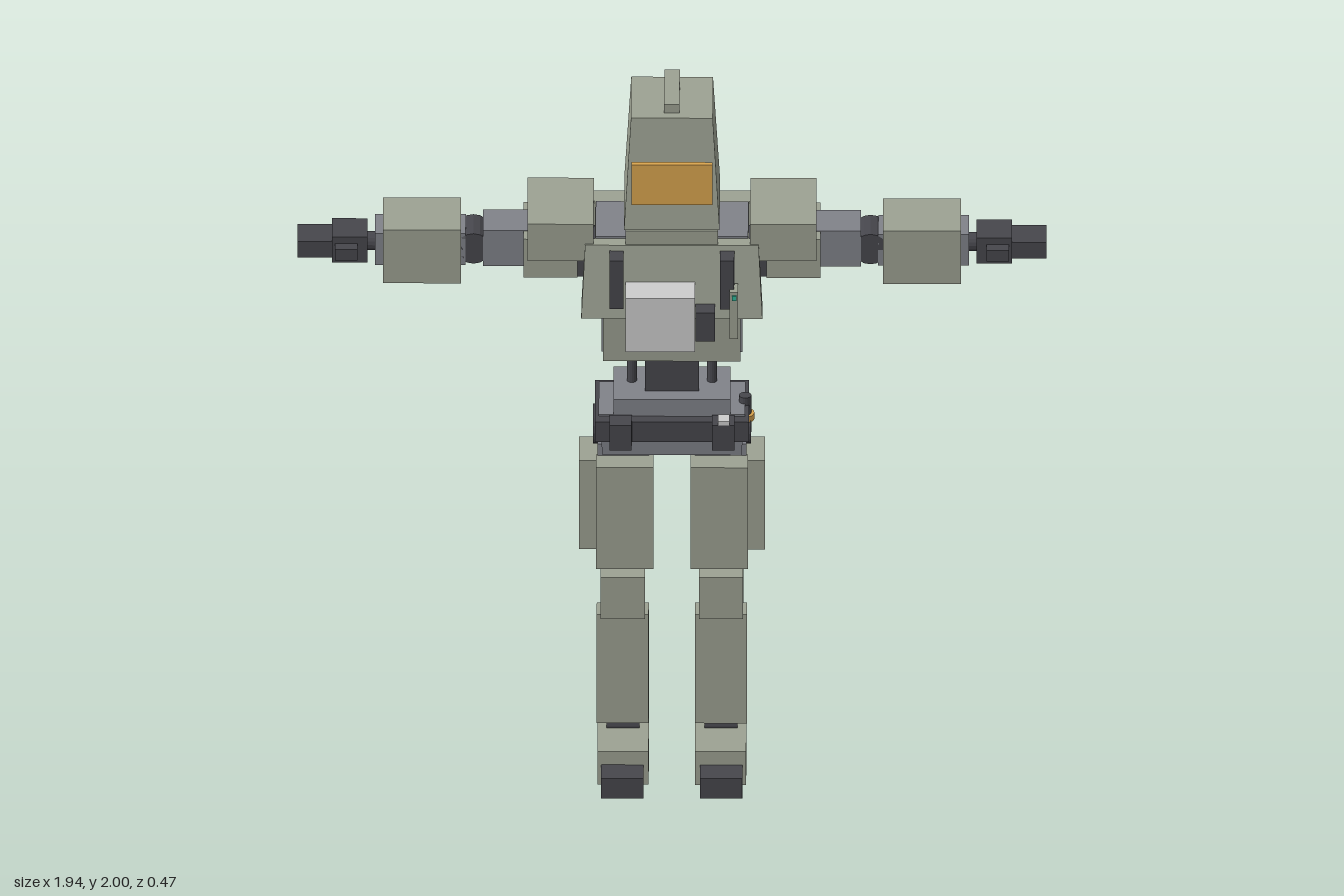
import * as THREE from 'three';

const mat = (color) => new THREE.MeshStandardMaterial({ color, flatShading: true });

export function createModel() {
  const model = new THREE.Group();
  const armor = mat(0x9ca192), frame = mat(0x808289), dark = mat(0x46464c);
  const amber = mat(0xd9a44e), pale = mat(0xcfd0cc), teal = mat(0x2fb89a);

  const add = (parent, name, geo, material) => {
    const mesh = new THREE.Mesh(geo, material);
    mesh.name = name;
    parent.add(mesh);
    return mesh;
  };

  // Box from its limits; s = -1 puts it on the other side
  const box = (parent, name, material, [x0, x1, y0, y1, z0, z1], s = 1) => {
    const m = add(parent, name, new THREE.BoxGeometry(x1 - x0, y1 - y0, z1 - z0), material);
    m.position.set(s * (x0 + x1) / 2, (y0 + y1) / 2, (z0 + z1) / 2);
    return m;
  };

  // Symmetric block whose bottom and top differ: each is [halfWidth, zBack, zFront]
  const taper = (parent, name, material, y0, y1, bottom, top) => {
    const geo = new THREE.BoxGeometry(2, 2, 2);
    const p = geo.attributes.position;
    for (let i = 0; i < p.count; i++) {
      const up = p.getY(i) > 0, r = up ? top : bottom;
      p.setXYZ(i, p.getX(i) * r[0], up ? y1 : y0, p.getZ(i) > 0 ? r[2] : r[1]);
    }
    geo.computeVertexNormals();
    return add(parent, name, geo, material);
  };

  // Cylinder along an axis
  const rod = (parent, name, material, axis, r, length, x, y, z) => {
    const geo = new THREE.CylinderGeometry(r, r, length, 16);
    if (axis === 'x') geo.rotateZ(Math.PI / 2);
    if (axis === 'z') geo.rotateX(Math.PI / 2);
    add(parent, name, geo, material).position.set(x, y, z);
  };

  const group = (name) => {
    const g = new THREE.Group();
    g.name = name;
    model.add(g);
    return g;
  };

  // Head
  const head = group('head');
  taper(head, 'helmet', armor, 1.66, 1.975, [0.124, -0.127, 0.148], [0.106, -0.1, 0.112]);
  box(head, 'crest', armor, [-0.02, 0.02, 1.965, 2, -0.095, 0.085]);
  box(head, 'visor', amber, [-0.105, 0.105, 1.745, 1.865, 0.15, 0.165]);
  box(head, 'neck', dark, [-0.045, 0.045, 1.6, 1.67, -0.05, 0.05]);

  // Torso
  const torso = group('torso');
  taper(torso, 'collar', armor, 1.59, 1.64, [0.12, -0.11, 0.12], [0.12, -0.11, 0.12]);
  taper(torso, 'chestCore', armor, 1.41, 1.6, [0.2, -0.155, 0.15], [0.2, -0.155, 0.12]);
  taper(torso, 'chestFront', armor, 1.4, 1.6, [0.235, 0.09, 0.16], [0.225, 0.09, 0.125]);
  box(torso, 'chestBack', armor, [-0.225, 0.225, 1.41, 1.6, -0.155, -0.1]);
  box(torso, 'shoulderBeam', frame, [-0.198, 0.198, 1.5, 1.606, -0.09, 0.09]);
  taper(torso, 'abdomen', armor, 1.26, 1.42, [0.178, -0.085, 0.14], [0.178, -0.13, 0.145]);
  for (const s of [-1, 1]) {
    box(torso, 'abdomenSide', frame, [0.14, 0.183, 1.262, 1.41, -0.085, 0.095], s);
    box(torso, 'chestVent', dark, [0.125, 0.162, 1.44, 1.585, 0.12, 0.18], s);
    rod(torso, 'waistPiston', dark, 'y', 0.013, 0.17, s * 0.104, 1.185, -0.01);
  }
  box(torso, 'waist', dark, [-0.07, 0.07, 1.1, 1.27, -0.045, 0.045]);

  // Chest equipment
  box(torso, 'chestPack', pale, [-0.12, 0.06, 1.34, 1.5, 0.14, 0.228]);
  box(torso, 'chestPouch', dark, [0.062, 0.112, 1.355, 1.44, 0.14, 0.2]);
  box(torso, 'chestTool', armor, [0.15, 0.172, 1.36, 1.5, 0.15, 0.195]);
  box(torso, 'toolLight', teal, [0.156, 0.168, 1.477, 1.49, 0.19, 0.2]);

  // Backpack with a wide rear bar
  const pack = group('backpack');
  box(pack, 'packBody', armor, [-0.125, 0.125, 1.28, 1.5, -0.215, -0.14]);
  box(pack, 'rearBar', dark, [-0.172, 0.172, 1.335, 1.475, -0.235, -0.175]);
  for (const s of [-1, 1]) {
    box(pack, 'barEnd', dark, [0.17, 0.295, 1.33, 1.462, -0.22, -0.175], s);
    box(pack, 'barStripe', amber, [0.18, 0.293, 1.458, 1.473, -0.21, -0.174], s);
    box(pack, 'barMark', amber, [0.18, 0.205, 1.392, 1.402, -0.18, -0.172], s);
  }

  // Pelvis and belt
  const pelvis = group('pelvis');
  box(pelvis, 'pelvisTop', frame, [-0.152, 0.152, 1.06, 1.115, -0.08, 0.09]);
  taper(pelvis, 'pelvisBase', frame, 0.945, 1.07, [0.18, -0.075, 0.085], [0.19, -0.08, 0.09]);
  box(pelvis, 'belt', dark, [-0.2, 0.2, 1.005, 1.065, -0.095, 0.12]);
  for (const s of [-1, 1]) {
    box(pelvis, 'beltPouch', dark, [0.104, 0.162, 1, 1.075, 0.1, 0.155], s);
    rod(pelvis, 'hipJoint', dark, 'x', 0.052, 0.08, s * 0.165, 0.99, 0);
  }
  box(pelvis, 'pouchLid', pale, [0.12, 0.15, 1.07, 1.088, 0.12, 0.155]);
  rod(pelvis, 'hipCanister', dark, 'y', 0.016, 0.11, 0.19, 1.033, 0.02);
  rod(pelvis, 'canisterRing', amber, 'y', 0.026, 0.018, 0.188, 1.027, 0.02);

  for (const s of [-1, 1]) {
    const side = s > 0 ? 'left' : 'right';

    // Arm, held straight out
    const arm = group(side + 'Arm');
    rod(arm, 'shoulderJoint', dark, 'x', 0.046, 0.1, s * 0.23, 1.535, 0);
    box(arm, 'shoulderPad', armor, [0.203, 0.375, 1.55, 1.66, -0.118, 0.12], s);
    box(arm, 'shoulderBlock', armor, [0.245, 0.385, 1.485, 1.6, -0.095, 0.095], s);
    box(arm, 'upperArm', frame, [0.37, 0.49, 1.495, 1.602, -0.053, 0.053], s);
    rod(arm, 'elbow', dark, 'z', 0.045, 0.1, s * 0.515, 1.545, 0);
    box(arm, 'forearm', frame, [0.535, 0.77, 1.496, 1.59, -0.05, 0.05], s);
    box(arm, 'forearmArmor', armor, [0.547, 0.75, 1.46, 1.62, -0.083, 0.083], s);
    rod(arm, 'wrist', dark, 'x', 0.025, 0.04, s * 0.78, 1.54, 0);
    box(arm, 'hand', dark, [0.79, 0.882, 1.503, 1.58, -0.045, 0.05], s);
    box(arm, 'fingers', dark, [0.88, 0.972, 1.515, 1.563, -0.045, 0.045], s);
    box(arm, 'thumb', dark, [0.816, 0.874, 1.527, 1.56, 0.045, 0.08], s);

    // Leg
    const leg = group(side + 'Leg');
    box(leg, 'thigh', frame, [0.06, 0.193, 0.595, 0.97, -0.067, 0.07], s);
    box(leg, 'thighFrontArmor', armor, [0.048, 0.197, 0.63, 0.935, 0.065, 0.132], s);
    box(leg, 'thighSideArmor', armor, [0.185, 0.241, 0.65, 0.917, -0.058, 0.065], s);
    rod(leg, 'knee', dark, 'x', 0.052, 0.105, s * 0.127, 0.55, 0.003);
    box(leg, 'kneeArmor', armor, [0.07, 0.185, 0.485, 0.61, 0.045, 0.142], s);
    box(leg, 'shin', frame, [0.07, 0.185, 0.138, 0.515, -0.055, 0.068], s);
    box(leg, 'shinArmor', armor, [0.06, 0.195, 0.16, 0.487, 0.06, 0.122], s);
    rod(leg, 'ankle', dark, 'x', 0.042, 0.085, s * 0.127, 0.105, 0.003);
    box(leg, 'foot', armor, [0.06, 0.193, 0, 0.1, -0.078, 0.165], s);
    box(leg, 'toe', dark, [0.073, 0.183, 0, 0.06, 0.16, 0.235], s);
  }

  return model;
}
